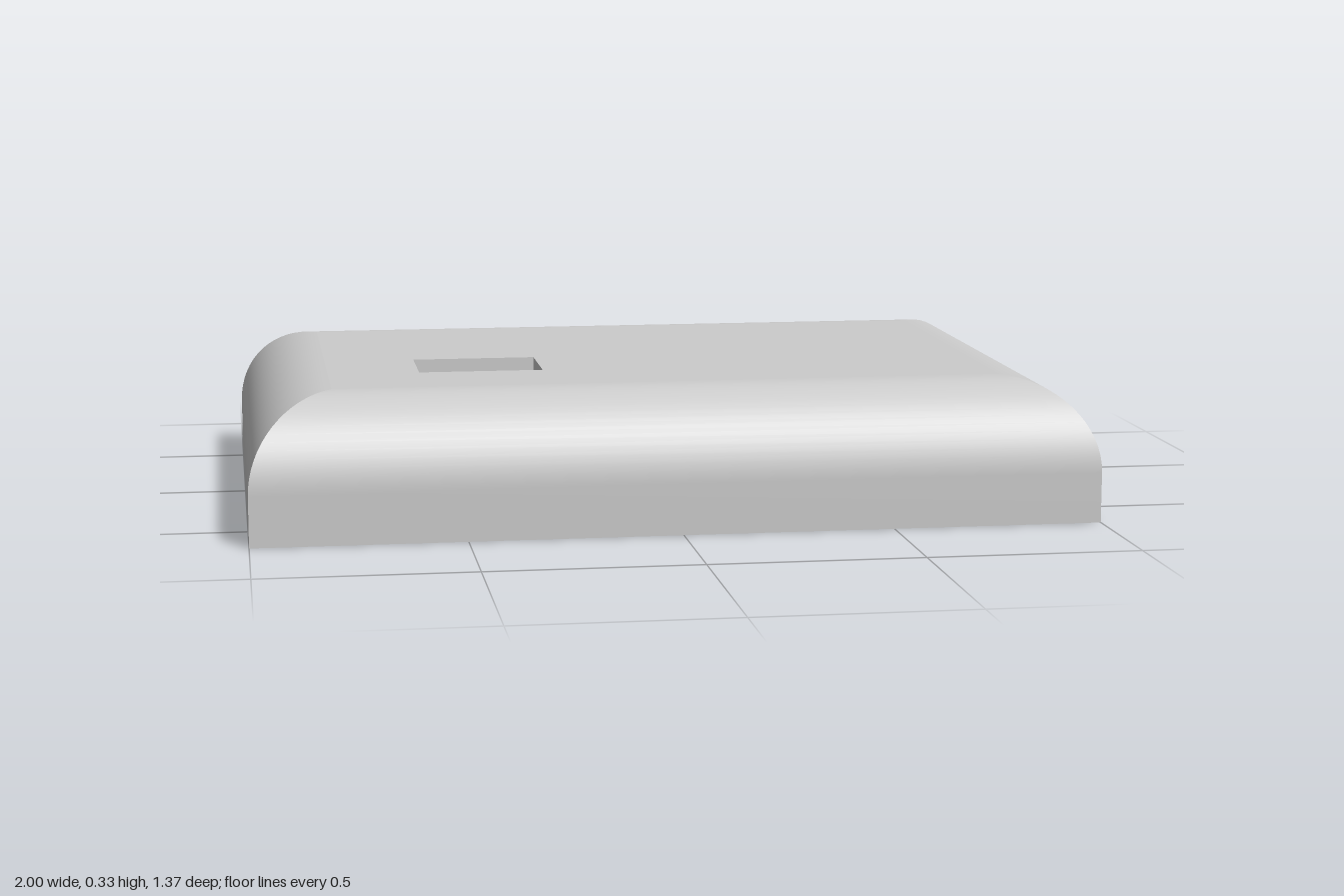
import * as THREE from 'three';

const HALF_X = 1, HALF_Z = 0.685, HEIGHT = 0.33;
const INSET = 0.2;    // width of the rounded shoulder
const SPRING = 0.12;  // height at which the shoulder starts to curve
const WALL = 0.04;

// Quarter-ellipse shoulder as [inset, height] pairs, from the top edge outward and down
function shoulder(thickness) {
  const points = [], steps = 16;
  const a = INSET - thickness, b = HEIGHT - thickness - SPRING;
  for (let i = 0; i <= steps; i++) {
    const t = (i / steps) * Math.PI / 2;
    points.push([INSET - a * Math.sin(t), SPRING + b * Math.cos(t)]);
  }
  points.push([thickness, 0]);
  return points;
}

// Strip along one side of the rectangle with mitred ends
function sideStrip(profile, side) {
  const corners = [[-1, 1], [1, 1], [1, -1], [-1, -1]];
  const ends = [corners[side], corners[(side + 1) % 4]];
  const positions = [], index = [];
  profile.forEach(([inset, y], i) => {
    for (const [sx, sz] of ends) positions.push(sx * (HALF_X - inset), y, sz * (HALF_Z - inset));
    if (i > 0) {
      const p = 2 * (i - 1), q = 2 * i;
      index.push(p, q, q + 1, p, q + 1, p + 1);
    }
  });
  const geometry = new THREE.BufferGeometry();
  geometry.setAttribute('position', new THREE.Float32BufferAttribute(positions, 3));
  geometry.setIndex(index);
  geometry.computeVertexNormals();
  return geometry;
}

function rectangle(path, x0, x1, y0, y1) {
  path.moveTo(x0, y0);
  path.lineTo(x1, y0);
  path.lineTo(x1, y1);
  path.lineTo(x0, y1);
  path.closePath();
  return path;
}

export function createModel() {
  const model = new THREE.Group();
  model.name = 'coverPlate';
  const material = new THREE.MeshStandardMaterial({ color: 0xcccccc });

  // Rounded hollow frame: outer skin, bottom rim and inner skin on four sides
  const skins = {
    outerShoulder: shoulder(0),
    bottomRim: [[0, 0], [WALL, 0]],
    innerShoulder: shoulder(WALL).reverse(),
  };
  for (const [name, profile] of Object.entries(skins)) {
    const group = new THREE.Group();
    group.name = name;
    for (let side = 0; side < 4; side++) {
      const mesh = new THREE.Mesh(sideStrip(profile, side), material);
      mesh.name = name + ['Front', 'Left', 'Back', 'Right'][side];
      group.add(mesh);
    }
    model.add(group);
  }

  // Flat top panel with its rectangular opening
  const x = HALF_X - INSET, z = HALF_Z - INSET;
  const outline = rectangle(new THREE.Shape(), -x, x, -z, z);
  outline.holes.push(rectangle(new THREE.Path(), -0.58, -0.28, -0.26, -0.05));
  const panelGeometry = new THREE.ExtrudeGeometry(outline, { depth: WALL, bevelEnabled: false });
  panelGeometry.rotateX(-Math.PI / 2);
  const panel = new THREE.Mesh(panelGeometry, material);
  panel.name = 'topPanel';
  panel.position.y = HEIGHT - WALL;
  model.add(panel);

  return model;
}
